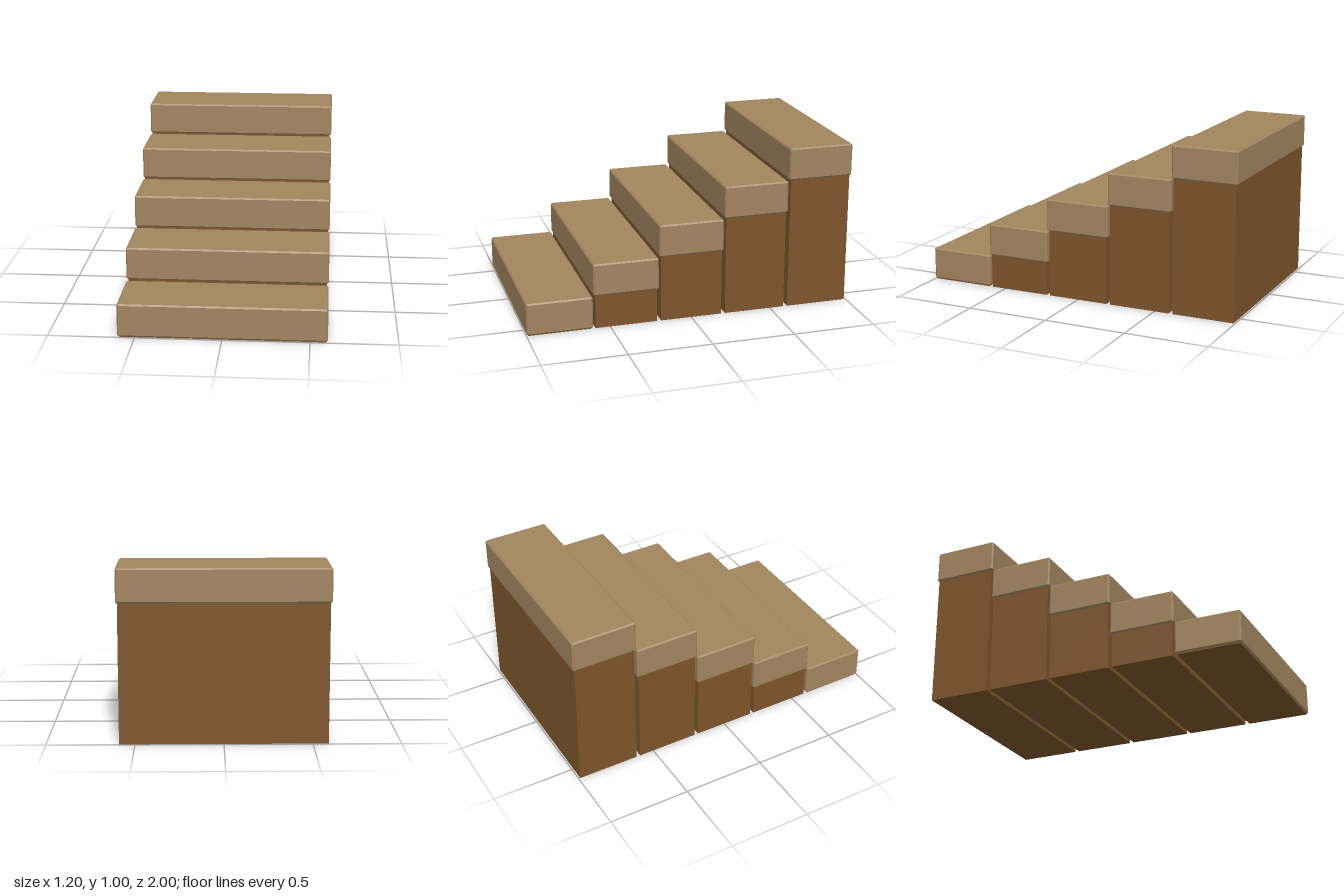
import * as THREE from 'three';
import { ConvexGeometry } from 'three/addons/geometries/ConvexGeometry.js';

const STEPS = 5, WIDTH = 1.2, RISE = 0.2, PITCH = 0.401;
const TREAD_DEPTH = 0.396, GAP = 0.005, INSET = 0.01, BEVEL = 0.008;

// Box with every edge and corner chamfered
function chamferedBox(w, h, d, b) {
  const points = [];
  for (const x of [-1, 1]) for (const y of [-1, 1]) for (const z of [-1, 1]) {
    const corner = [x * w / 2, y * h / 2, z * d / 2];
    const inward = [x * b, y * b, z * b];
    for (let axis = 0; axis < 3; axis++) {
      // Keep one coordinate on its face, pull the other two in
      points.push(new THREE.Vector3(...corner.map((c, i) => (i === axis ? c : c - inward[i]))));
    }
  }
  return new ConvexGeometry(points);
}

export function createModel() {
  const group = new THREE.Group();
  group.name = 'staircase';
  const treadWood = new THREE.MeshStandardMaterial({ color: 0xa2855f });
  treadWood.name = 'light wood';
  const baseWood = new THREE.MeshStandardMaterial({ color: 0x7d552c });
  baseWood.name = 'dark wood';

  const treadHeight = RISE - GAP;
  const treadGeometry = chamferedBox(WIDTH, treadHeight, TREAD_DEPTH, BEVEL);

  for (let i = 0; i < STEPS; i++) {
    const z = ((STEPS - 1) / 2 - i) * PITCH;

    // Chamfered tread block
    const tread = new THREE.Mesh(treadGeometry, treadWood);
    tread.name = `tread${i + 1}`;
    tread.position.set(0, i * RISE + GAP + treadHeight / 2, z);
    group.add(tread);

    // Slightly inset block reaching from the ground up into the tread
    const height = i * RISE + 2 * GAP;
    const base = new THREE.Mesh(
      new THREE.BoxGeometry(WIDTH - 2 * INSET, height, TREAD_DEPTH - 2 * INSET), baseWood);
    base.name = `support${i + 1}`;
    base.position.set(0, height / 2, z);
    group.add(base);
  }
  return group;
}
